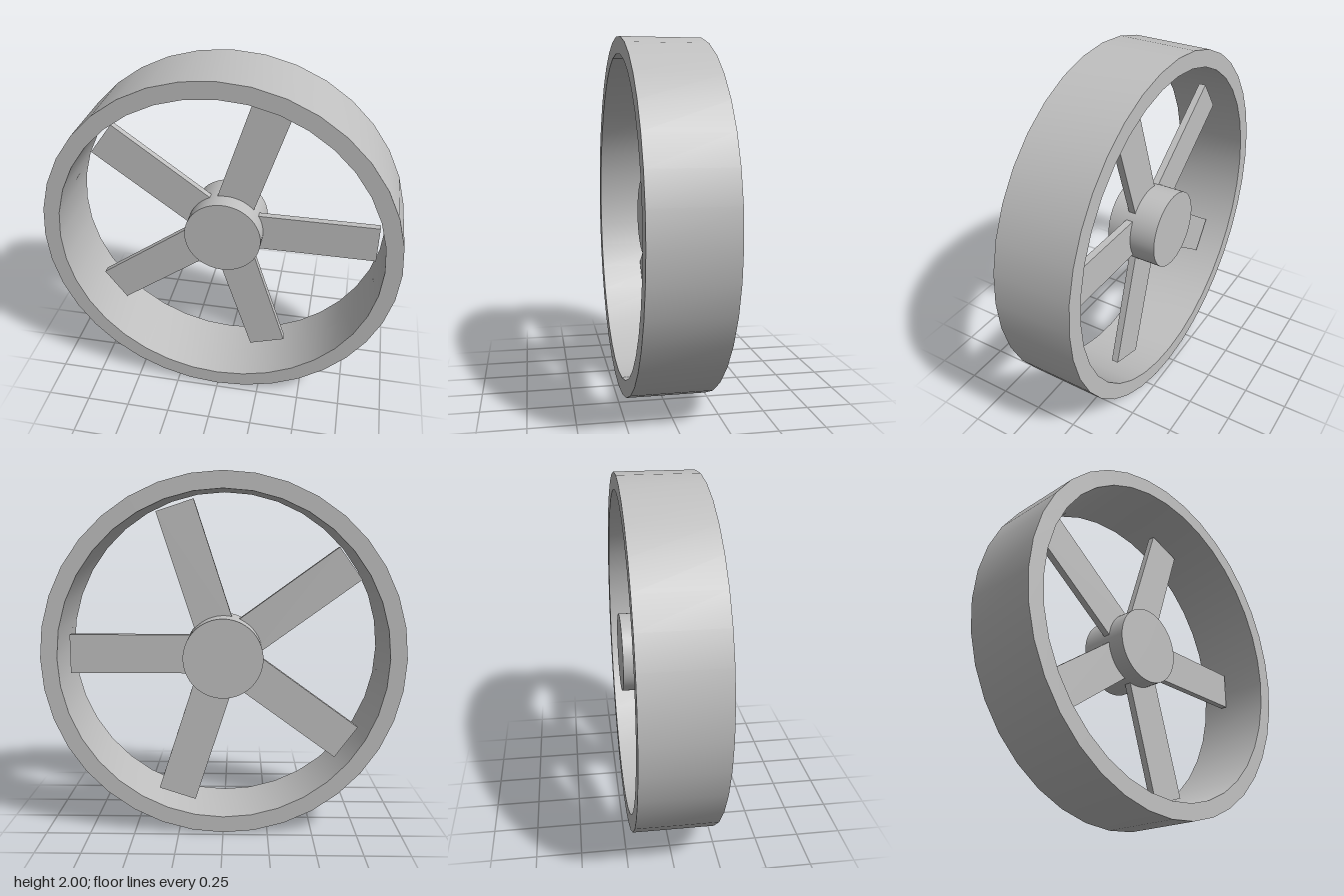
import * as THREE from 'three';
import { toCreasedNormals } from 'three/addons/utils/BufferGeometryUtils.js';

export function createModel() {
  const model = new THREE.Group();
  model.name = 'wheel';
  const metal = new THREE.MeshStandardMaterial({ color: 0xc0c0c0 });
  metal.name = 'grey metal';

  const add = (parent, name, geometry) => {
    const mesh = new THREE.Mesh(geometry, metal);
    mesh.name = name;
    parent.add(mesh);
    return mesh;
  };

  // Rim: a closed rectangular profile turned round the axle
  const half = 0.22, outer = 1, inner = 0.908;
  const profile = [[outer, -half], [outer, half], [inner, half], [inner, -half], [outer, -half]]
    .map(([r, y]) => new THREE.Vector2(r, y));
  const rim = new THREE.LatheGeometry(profile, 36).rotateX(Math.PI / 2);
  add(model, 'rim', toCreasedNormals(rim, 0.5)).position.y = 1;

  // Hub: flush with the back of the rim, shorter at the front
  const hubBack = -0.22, hubFront = 0.07;
  const hub = new THREE.CylinderGeometry(0.22, 0.22, hubFront - hubBack, 64).rotateX(Math.PI / 2);
  add(model, 'hub', hub).position.set(0, 1, (hubFront + hubBack) / 2);

  // Five flat spokes that stop just short of the rim
  const spokes = new THREE.Group();
  spokes.name = 'spokes';
  spokes.position.set(0, 1, -0.05);
  model.add(spokes);
  const start = 0.1, end = 0.87;
  const spoke = new THREE.BoxGeometry(end - start, 0.22, 0.04).translate((start + end) / 2, 0, 0);
  for (let i = 0; i < 5; i++) {
    add(spokes, 'spoke', spoke).rotation.z = (i * Math.PI * 2) / 5;
  }

  return model;
}
